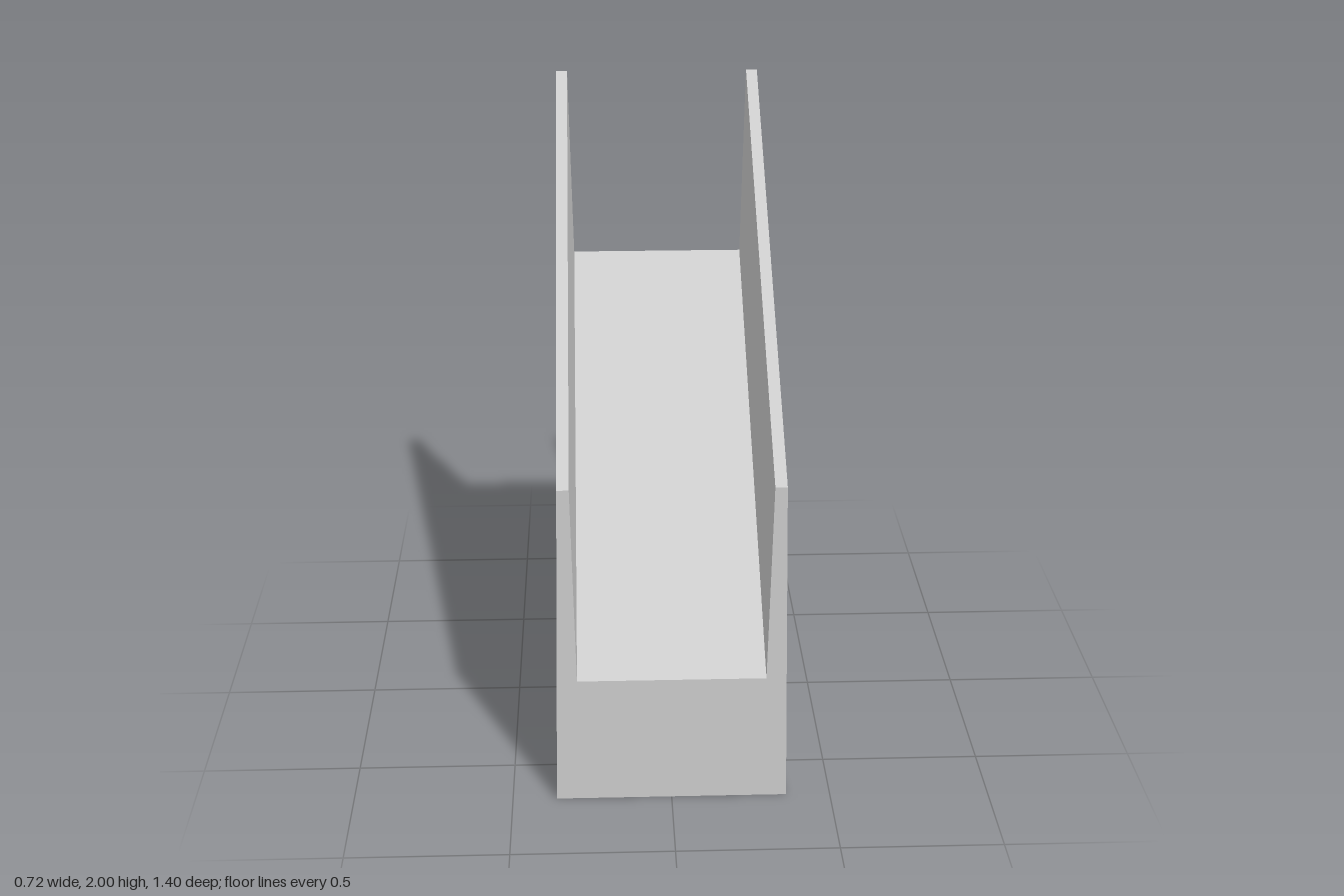
import * as THREE from 'three';

const LENGTH = 1.4; // front to back
const RISE = 0.935; // climb from front end to back end

export function createModel() {
  const group = new THREE.Group();
  group.name = 'slopedChannel';

  // U-shaped section: thick floor and two side walls that taper upwards
  const half = [[0.362, 0], [0.343, 1.065], [0.306, 1.065], [0.292, 0.42]];
  const mirrored = half.map(([x, y]) => [-x, y]).reverse();
  const section = new THREE.Shape([...half, ...mirrored].map(([x, y]) => new THREE.Vector2(x, y)));

  const geometry = new THREE.ExtrudeGeometry(section, { depth: LENGTH, bevelEnabled: false });
  geometry.translate(0, 0, -LENGTH / 2);

  // Shear upwards towards the back, keeping both ends vertical
  const pos = geometry.attributes.position;
  for (let i = 0; i < pos.count; i++) {
    pos.setY(i, pos.getY(i) + (LENGTH / 2 - pos.getZ(i)) * RISE / LENGTH);
  }
  geometry.computeVertexNormals();

  const material = new THREE.MeshStandardMaterial({ color: 0xcccccc, flatShading: true });
  const channel = new THREE.Mesh(geometry, material);
  channel.name = 'rampWithSideWalls';
  group.add(channel);
  return group;
}
